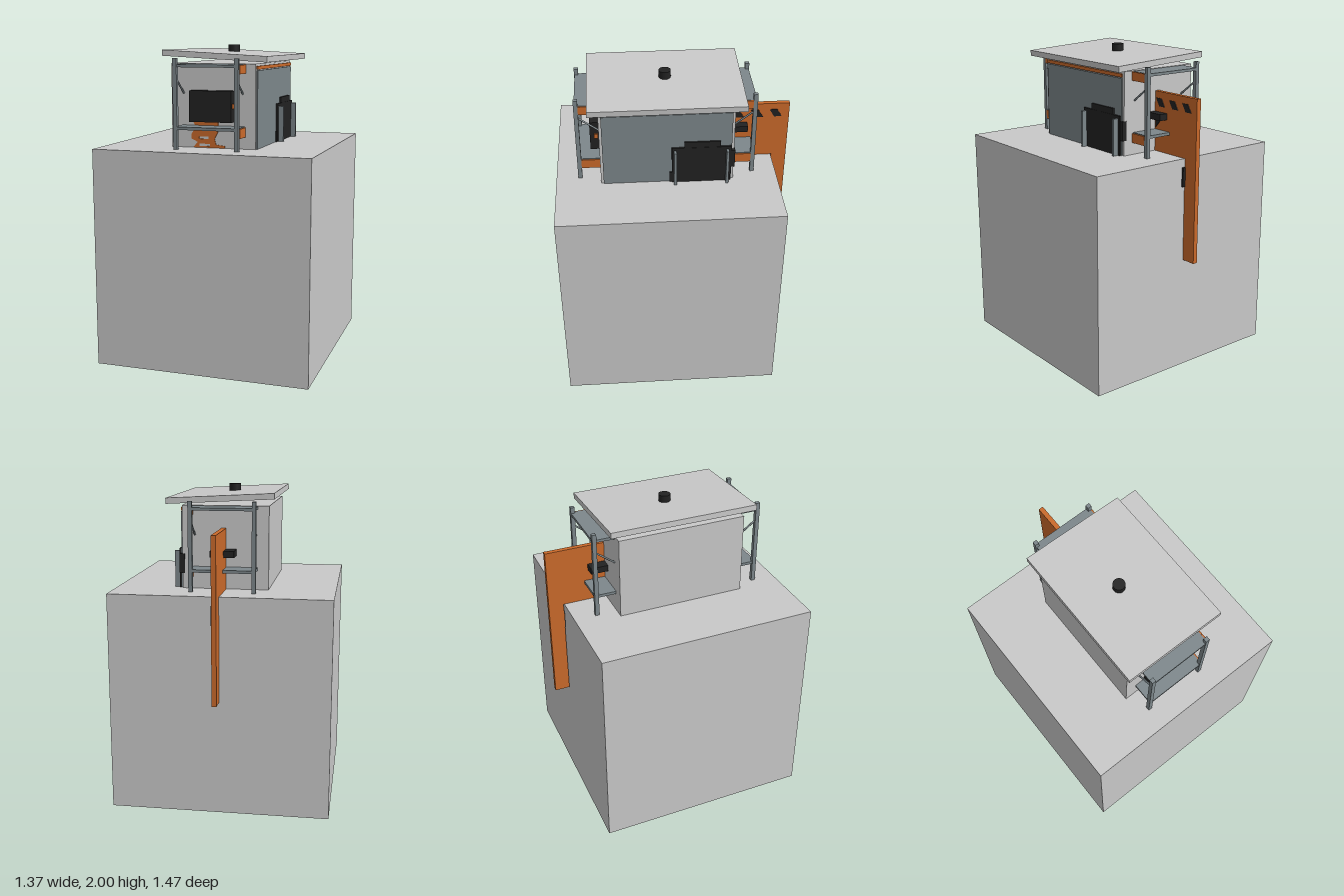
import * as THREE from 'three';

const mat = (name, color) => {
  const m = new THREE.MeshStandardMaterial({ color });
  m.name = name;
  return m;
};

export function createModel() {
  const root = new THREE.Group();
  root.name = 'equipmentCabin';
  const light = mat('lightGrey', 0xc9c9c9);
  const steel = mat('blueGrey', 0x7d878b);
  const orange = mat('orange', 0xcb6a2b);
  const black = mat('black', 0x222222);

  const add = (name, geo, material, parent = root) => {
    const m = new THREE.Mesh(geo, material);
    m.name = name;
    parent.add(m);
    return m;
  };
  // box from its min and max on each axis
  const box = (name, material, [x0, x1], [y0, y1], [z0, z1], parent = root) => {
    const m = add(name, new THREE.BoxGeometry(x1 - x0, y1 - y0, z1 - z0), material, parent);
    m.position.set((x0 + x1) / 2, (y0 + y1) / 2, (z0 + z1) / 2);
    return m;
  };
  // slab of constant x-thickness, outlined by [z, y] points
  const sideSlab = (name, material, points, x0, x1) => {
    const shape = new THREE.Shape(points.map(([z, y]) => new THREE.Vector2(-z, y)));
    const g = new THREE.ExtrudeGeometry(shape, { depth: x1 - x0, bevelEnabled: false });
    const m = add(name, g, material);
    m.rotation.y = Math.PI / 2;
    m.position.x = x0;
    return m;
  };
  // round rod between two points
  const rod = (name, material, a, b, r, parent) => {
    const p = new THREE.Vector3(...a), q = new THREE.Vector3(...b);
    const m = add(name, new THREE.CylinderGeometry(r, r, p.distanceTo(q), 8), material, parent);
    m.position.copy(p).add(q).multiplyScalar(0.5);
    m.quaternion.setFromUnitVectors(new THREE.Vector3(0, 1, 0), q.sub(p).normalize());
  };

  // large plinth and cabin
  box('plinth', light, [-0.685, 0.685], [0, 1.375], [-0.635, 0.735]);
  box('cabinBody', light, [-0.27, 0.27], [1.375, 1.89], [-0.36, 0.458]);
  box('sidePanel', steel, [0.27, 0.279], [1.375, 1.85], [-0.345, 0.442]);
  box('sideStripe', orange, [0.27, 0.279], [1.855, 1.876], [-0.345, 0.442]);

  // tilted roof with a vent cap
  const roof = add('roof', new THREE.BoxGeometry(0.666, 0.036, 0.94), light);
  roof.position.set(0.026, 1.936, 0.05);
  roof.rotation.z = -0.052;
  add('roofCap', new THREE.CylinderGeometry(0.037, 0.037, 0.055, 24), black).position.set(0, 1.9725, 0.045);

  // the same porch frame at front and back
  const porch = (name, zWall, zOut) => {
    const g = new THREE.Group();
    g.name = name;
    root.add(g);
    const s = Math.sign(zOut);
    const span = (a, b) => [Math.min(a, b), Math.max(a, b)];
    for (const side of [-1, 1]) {
      box('post', steel, span(side * 0.182, side * 0.207), [1.375, 1.925], span(zOut, zOut - s * 0.026), g);
      rod('diagonalBrace', steel, [side * 0.19, 1.8, zOut - s * 0.02], [side * 0.19, 1.71, zWall], 0.006, g);
    }
    for (const [y0, y1] of [[1.87, 1.887], [1.495, 1.513]])
      box('shelf', steel, [-0.2, 0.2], [y0, y1], span(zWall, zOut - s * 0.003), g);
    for (const [y0, y1] of [[1.832, 1.885], [1.45, 1.508]])
      box('sideBracket', orange, [0.201, 0.209], [y0, y1], span(zWall, zOut - s * 0.026), g);
  };
  porch('frontPorch', 0.458, 0.6);
  porch('backPorch', -0.36, -0.5);

  // control box with a button, above a painted shape
  box('controlBox', black, [-0.135, 0.133], [1.538, 1.728], [0.458, 0.515]);
  box('controlButton', orange, [0.133, 0.145], [1.62, 1.65], [0.465, 0.49]);
  const paint = new THREE.Shape([[-0.13, 1.376], [0.075, 1.376], [0.075, 1.39], [0.02, 1.395], [0.01, 1.43],
    [0.03, 1.47], [0.035, 1.54], [-0.13, 1.54], [-0.11, 1.5], [-0.14, 1.46], [-0.14, 1.43], [-0.1, 1.41]]
    .map(p => new THREE.Vector2(...p)));
  const gaps = [[-0.09, -0.02, 1.385, 1.4], [-0.09, -0.03, 1.43, 1.445], [-0.08, -0.01, 1.485, 1.495]];
  for (const [a, b, c, d] of gaps)
    paint.holes.push(new THREE.Path([[a, c], [a, d], [b, d], [b, c]].map(p => new THREE.Vector2(...p))));
  add('frontPaint', new THREE.ExtrudeGeometry(paint, { depth: 0.005, bevelEnabled: false }), orange).position.z = 0.458;

  // side unit with its uprights
  box('sideUnit', black, [0.27, 0.292], [1.375, 1.622], [-0.34, 0.022]);
  box('sideUnitLid', black, [0.27, 0.29], [1.622, 1.66], [-0.275, -0.055]);
  box('sideUnitFoot', black, [0.27, 0.288], [1.375, 1.445], [0.022, 0.036]);
  box('sideUnitLatch', black, [0.255, 0.288], [1.47, 1.59], [-0.365, -0.34]);
  for (const z of [0.002, -0.317])
    box('sideUnitUpright', steel, [0.288, 0.325], [1.375, 1.605], [z - 0.008, z + 0.008]);

  // L-shaped fin behind the cabin
  sideSlab('rearFin', orange, [[-0.36, 1.375], [-0.64, 1.375], [-0.64, 0.725], [-0.735, 0.725],
    [-0.735, 1.752], [-0.36, 1.752]], -0.005, 0.025);
  for (const z of [-0.372, -0.492, -0.61])
    sideSlab('finStripe', black, [[z, 1.71], [z - 0.03, 1.66], [z - 0.078, 1.66], [z - 0.048, 1.71]], 0.024, 0.029);
  sideSlab('finTriangle', black, [[-0.37, 1.57], [-0.37, 1.525], [-0.41, 1.57]], 0.024, 0.029);
  box('finHandle', black, [-0.07, 0.08], [1.585, 1.625], [-0.47, -0.36]);
  box('finCatch', black, [0.0, 0.043], [1.2, 1.322], [-0.647, -0.632]);

  return root;
}
